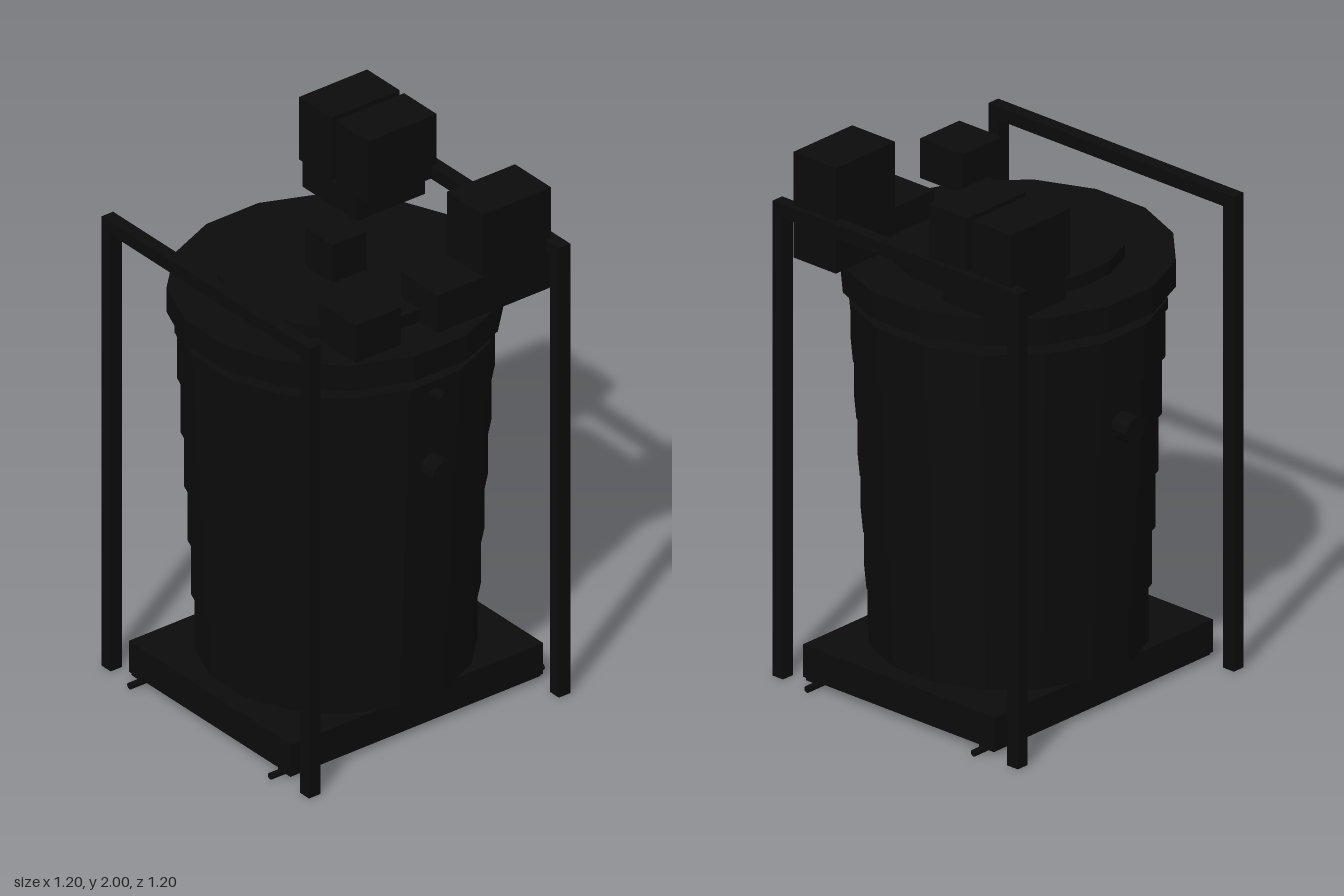
import * as THREE from 'three';

export function createModel() {
  const root = new THREE.Group();
  root.name = 'framedTank';
  const black = new THREE.MeshStandardMaterial({ color: 0x0b0b0b, flatShading: true });
  black.name = 'black';

  const add = (name, geometry, x, y, z) => {
    const mesh = new THREE.Mesh(geometry, black);
    mesh.name = name;
    mesh.position.set(x, y, z);
    root.add(mesh);
    return mesh;
  };
  // Box given by its limits on each axis
  const box = (name, x0, x1, y0, y1, z0, z1) =>
    add(name, new THREE.BoxGeometry(x1 - x0, y1 - y0, z1 - z0),
      (x0 + x1) / 2, (y0 + y1) / 2, (z0 + z1) / 2);
  // Sixteen-sided drum with flat sides facing the axes
  const drum = (name, radius, y0, y1) => {
    const g = new THREE.CylinderGeometry(radius, radius, y1 - y0, 16);
    g.rotateY(Math.PI / 16);
    return add(name, g, 0, (y0 + y1) / 2, 0);
  };
  // Round pipe along x or z
  const pipe = (name, radius, length, axis, x, y, z) => {
    const g = new THREE.CylinderGeometry(radius, radius, length, 12);
    if (axis === 'x') g.rotateZ(Math.PI / 2);
    else g.rotateX(Math.PI / 2);
    return add(name, g, x, y, z);
  };

  // Base plate with runners and skid rails
  box('basePlate', -0.45, 0.45, 0.027, 0.15, -0.555, 0.555);
  for (const s of [-1, 1]) {
    box('runner', s * 0.405 - 0.035, s * 0.405 + 0.035, 0.015, 0.03, -0.55, 0.55);
    pipe('skidRail', 0.0125, 1.2, 'z', s * 0.39, 0.0125, 0);
  }

  // Front and back portal frames
  for (const z of [-0.55, 0.55]) {
    for (const x of [-0.55, 0.55]) {
      box('post', x - 0.025, x + 0.025, 0, 1.8, z - 0.025, z + 0.025);
    }
    box('topBar', -0.525, 0.525, 1.75, 1.8, z - 0.025, z + 0.025);
  }

  // Stepped tank widening upward
  const tierHeight = 1.3 / 6;
  for (let i = 0; i < 6; i++) {
    const y = 0.15 + i * tierHeight;
    drum('tankTier', 0.49 + i * 0.012, y, y + tierHeight);
  }
  drum('tankRim', 0.558, 1.415, 1.45);

  // Raised lid with a smaller disc on top
  drum('lid', 0.586, 1.5, 1.6);
  drum('lidDisc', 0.408, 1.6, 1.65);

  // Side pipes
  for (const s of [-1, 1]) pipe('sidePort', 0.05, 0.12, 'x', s * 0.54, 1.1, 0);
  pipe('drainPipe', 0.02, 0.1, 'x', 0.55, 1.4, 0);

  // Equipment on the lid
  box('centreUnit', -0.075, 0.075, 1.65, 1.8, -0.075, 0.075);
  box('frontUnit', 0.35, 0.55, 1.65, 1.8, 0.15, 0.35);
  box('pumpBase', 0.3, 0.5, 1.6, 1.75, -0.55, -0.05);
  box('pumpTower', 0.3, 0.5, 1.75, 2, -0.55, -0.25);
  box('cabinetBase', -0.5, -0.2, 1.65, 1.75, -0.55, -0.25);
  box('cabinet', -0.52, -0.34, 1.75, 2, -0.55, -0.25);
  box('cabinet', -0.315, -0.135, 1.75, 2, -0.55, -0.25);

  return root;
}
